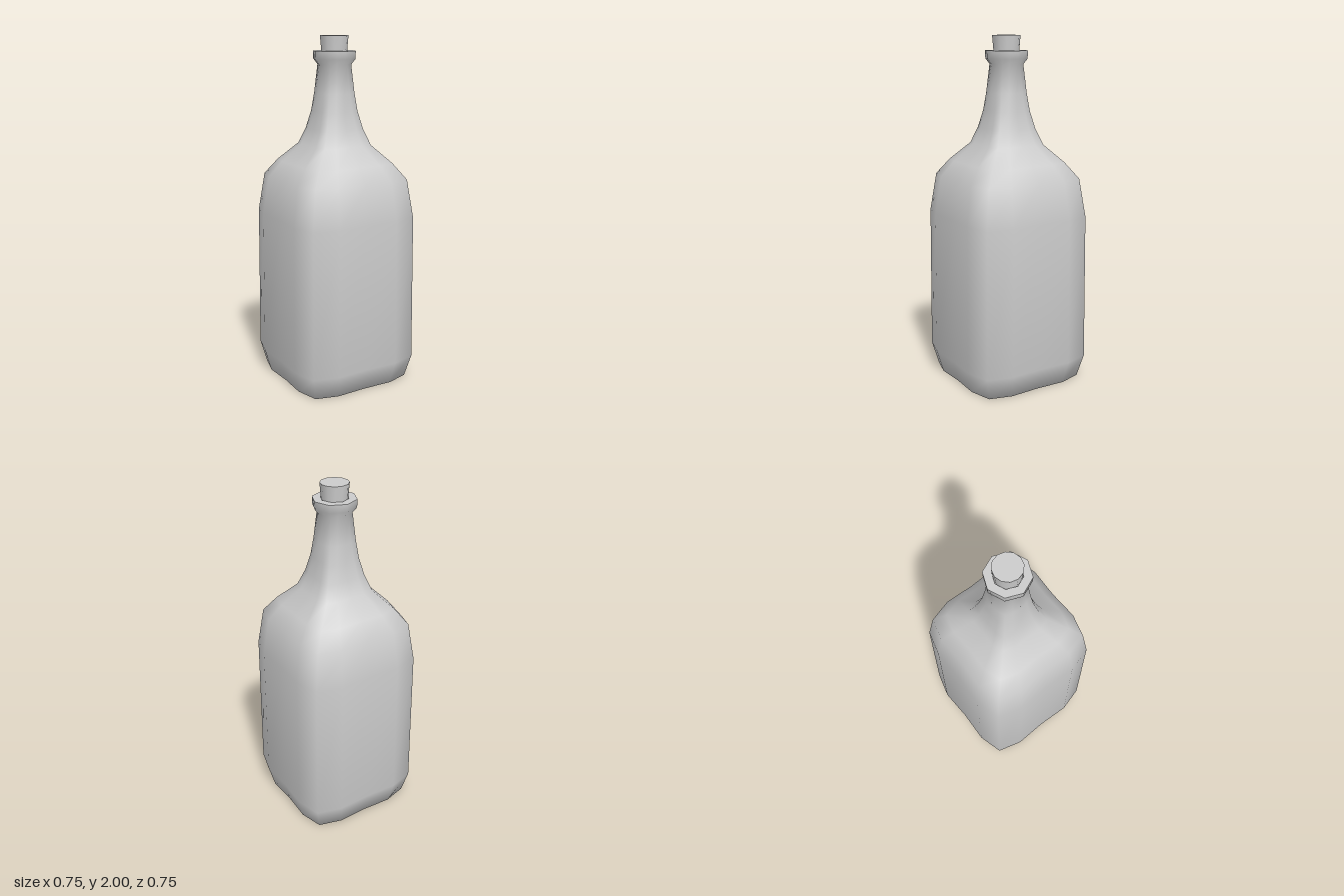
import * as THREE from 'three';
import { toCreasedNormals } from 'three/addons/utils/BufferGeometryUtils.js';

// One eighth-pair of each unit cross-section, repeated around four sides
const SQUARE = [[0.978, 0], [1, 0.507], [0.893, 0.893], [0.507, 1]];
const ROUND = [[1, 0], [0.854, 0.354], [0.707, 0.707], [0.354, 0.854]];
const SIDES = 16;

// Blend of rounded square (sq = 1) and octagon (sq = 0), at a given half-width
function section(half, y, sq) {
  const pts = [];
  for (let i = 0; i < SIDES; i++) {
    const a = SQUARE[i % 4], b = ROUND[i % 4];
    const px = THREE.MathUtils.lerp(b[0], a[0], sq) * half;
    const pz = THREE.MathUtils.lerp(b[1], a[1], sq) * half;
    const turn = Math.floor(i / 4) * Math.PI / 2;
    const c = Math.round(Math.cos(turn)), s = Math.round(Math.sin(turn));
    pts.push([px * c - pz * s, y, px * s + pz * c]);
  }
  return pts;
}

// Skin stacked sections from bottom to top
function loft(rings) {
  const pos = rings.flat(2), index = [];
  for (let r = 0; r < rings.length - 1; r++) {
    for (let i = 0; i < SIDES; i++) {
      const a = r * SIDES + i, b = r * SIDES + (i + 1) % SIDES;
      index.push(a, a + SIDES, b, b, a + SIDES, b + SIDES);
    }
  }
  const geo = new THREE.BufferGeometry();
  geo.setAttribute('position', new THREE.Float32BufferAttribute(pos, 3));
  geo.setIndex(index);
  return geo;
}

export function createModel() {
  const group = new THREE.Group();
  group.name = 'bottle';

  // Glass: half-width, height, squareness
  const profile = [
    [0.001, 0, 1], [0.343, 0, 1], [0.376, 0.13, 1], [0.369, 0.98, 1],
    [0.337, 1.2, 1], [0.27, 1.29, 1], [0.17, 1.39, 1], [0.135, 1.48, 0.95],
    [0.115, 1.58, 0.7], [0.108, 1.68, 0.35], [0.098, 1.84, 0],
    [0.122, 1.87, 0], [0.124, 1.915, 0], [0.078, 1.915, 0], [0.073, 1.86, 0],
  ];
  const glass = new THREE.Mesh(
    toCreasedNormals(loft(profile.map(([w, y, sq]) => section(w, y, sq))), 1.4),
    new THREE.MeshStandardMaterial({ color: 0xcccccc, side: THREE.DoubleSide }));
  glass.name = 'glassBody';
  group.add(glass);

  // Tapered cork pushed into the neck
  const cork = new THREE.Mesh(
    toCreasedNormals(new THREE.CylinderGeometry(0.08, 0.067, 0.15, 12), 0.8),
    new THREE.MeshStandardMaterial({ color: 0xcccccc }));
  cork.name = 'cork';
  cork.position.y = 1.925;
  group.add(cork);

  return group;
}
